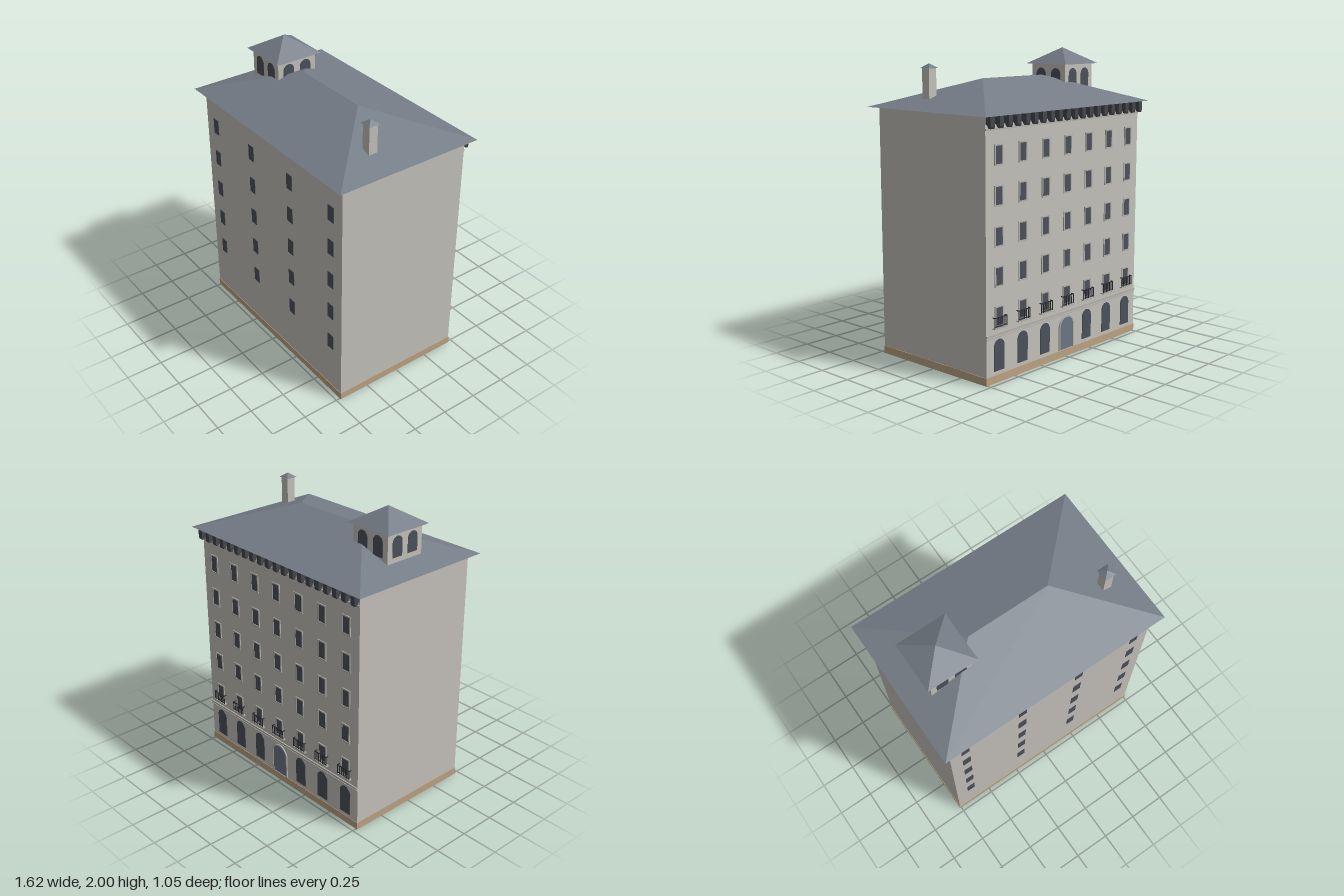
import * as THREE from 'three';

const mat = (name, color) => {
  const m = new THREE.MeshStandardMaterial({ color });
  m.name = name;
  return m;
};

// Hipped roof with its base at y = 0; ridge = 0 gives a pyramid
function hipGeometry(w, d, h, ridge = 0) {
  const a = [-w, 0, d], b = [w, 0, d], c = [w, 0, -d], e = [-w, 0, -d];
  const p = [-ridge, h, 0], q = [ridge, h, 0];
  const tris = [a, b, q, b, c, q, c, e, p, e, a, p, a, e, c, a, c, b];
  if (ridge > 0) tris.push(a, q, p, c, p, q);
  const g = new THREE.BufferGeometry();
  g.setAttribute('position', new THREE.Float32BufferAttribute(tris.flat(), 3));
  g.computeVertexNormals();
  return g;
}

// Round-headed outline standing on y = 0
function archPath(w, h, Type = THREE.Shape) {
  const r = w / 2, s = new Type();
  s.moveTo(-r, 0);
  s.lineTo(r, 0);
  s.lineTo(r, h - r);
  s.absarc(0, h - r, r, 0, Math.PI, false);
  s.lineTo(-r, 0);
  return s;
}

const extrude = (shape, depth) =>
  new THREE.ExtrudeGeometry(shape, { depth, bevelEnabled: false, curveSegments: 10 });

export function createModel() {
  const model = new THREE.Group();
  model.name = 'building';
  const wall = mat('stone wall', 0xc4c1bb);
  const trim = mat('stone trim', 0xb4b1ab);
  const slate = mat('roof slate', 0x757d87);
  const glass = mat('window glass', 0x4b515b);
  const doorPaint = mat('door paint', 0x6b7784);
  const iron = mat('dark iron', 0x2a2c30);
  const timber = mat('bracket timber', 0x44474c);
  const sand = mat('plinth sandstone', 0xbca382);

  const add = (parent, name, geo, material, x = 0, y = 0, z = 0) => {
    const m = new THREE.Mesh(geo, material);
    m.name = name;
    m.position.set(x, y, z);
    parent.add(m);
    return m;
  };
  const box = (parent, name, w, h, d, material, x, y, z) =>
    add(parent, name, new THREE.BoxGeometry(w, h, d), material, x, y, z);
  const group = (parent, name) => {
    const g = new THREE.Group();
    g.name = name;
    parent.add(g);
    return g;
  };

  // Main body
  box(model, 'plinth', 1.52, 0.05, 0.942, sand, 0, 0.025, 0);
  box(model, 'walls', 1.514, 1.59, 0.936, wall, 0, 0.845, 0);
  add(model, 'mainRoof', hipGeometry(0.81, 0.523, 0.18, 0.29), slate, 0, 1.64, 0);

  const rows = [0.42, 0.667, 0.913, 1.16, 1.405];

  // Plain front with four columns of windows
  const front = group(model, 'frontWindows');
  for (const x of [-0.645, -0.215, 0.215, 0.645])
    for (const y of rows) box(front, 'frontWindow', 0.058, 0.11, 0.005, glass, x, y, 0.4685);

  // Street side, built facing +z and turned to the back
  const street = group(model, 'streetFacade');
  street.rotation.y = Math.PI;
  const Z = 0.468;

  const frameShape = new THREE.Shape();
  const fw = 0.038, fh = 0.064;
  frameShape.moveTo(-fw, -fh).lineTo(fw, -fh).lineTo(fw, fh).lineTo(-fw, fh).closePath();
  const opening = new THREE.Path();
  opening.moveTo(-0.029, -0.055).lineTo(-0.029, 0.055).lineTo(0.029, 0.055).lineTo(0.029, -0.055).closePath();
  frameShape.holes.push(opening);
  const frameGeo = extrude(frameShape, 0.006);

  const surround = archPath(0.15, 0.225);
  surround.holes.push(archPath(0.13, 0.215, THREE.Path));
  const surroundGeo = extrude(surround, 0.008);
  const archGeo = extrude(archPath(0.092, 0.2), 0.004);
  const doorGeo = extrude(archPath(0.13, 0.215), 0.004);

  for (let i = -3; i <= 3; i++) {
    const x = i * 0.215;
    for (const y of rows) {
      box(street, 'window', 0.058, 0.11, 0.005, glass, x, y, Z);
      add(street, 'windowFrame', frameGeo, trim, x, y, Z);
    }
    // Balcony with an iron railing
    const balcony = group(street, 'balcony');
    balcony.position.set(x, 0.35, Z);
    box(balcony, 'balconySlab', 0.115, 0.008, 0.022, trim, 0, 0, 0.011);
    box(balcony, 'handrail', 0.11, 0.006, 0.004, iron, 0, 0.067, 0.018);
    box(balcony, 'bottomRail', 0.11, 0.004, 0.004, iron, 0, 0.012, 0.018);
    for (let k = -3; k <= 3; k++)
      box(balcony, 'baluster', 0.005, 0.066, 0.004, iron, k * 0.0175, 0.035, 0.018);
    for (const s of [-1, 1]) box(balcony, 'sideRail', 0.004, 0.006, 0.018, iron, s * 0.053, 0.067, 0.009);
    // Ground floor arches, with the door in the middle
    if (i === 0) {
      add(street, 'door', doorGeo, doorPaint, x, 0.055, Z);
      add(street, 'doorSurround', surroundGeo, trim, x, 0.055, Z);
    } else {
      add(street, 'archedWindow', archGeo, glass, x, 0.075, Z);
    }
  }

  // Mouldings and eaves brackets
  box(street, 'stringCourse', 1.514, 0.014, 0.01, trim, 0, 0.307, Z + 0.003);
  box(street, 'lowerMoulding', 1.514, 0.006, 0.006, trim, 0, 0.29, Z + 0.002);
  box(street, 'friezeMoulding', 1.514, 0.012, 0.008, trim, 0, 1.56, Z + 0.003);
  const profile = new THREE.Shape();
  profile.moveTo(0, 1.64).lineTo(0, 1.59).lineTo(0.012, 1.585).lineTo(0.02, 1.57)
    .lineTo(0.034, 1.566).lineTo(0.04, 1.58).lineTo(0.04, 1.64).closePath();
  const bracketGeo = extrude(profile, 0.036);
  bracketGeo.translate(0, 0, -0.018);
  bracketGeo.rotateY(-Math.PI / 2);
  for (let i = 0; i < 20; i++)
    add(street, 'eavesBracket', bracketGeo, timber, -0.735 + (i * 1.47) / 19, 0, Z);

  // Belvedere with two arches on every side
  const tower = group(model, 'belvedere');
  tower.position.set(-0.507, 0, 0);
  box(tower, 'belvedereWalls', 0.292, 0.24, 0.292, wall, 0, 1.77, 0);
  add(tower, 'belvedereRoof', hipGeometry(0.175, 0.175, 0.11), slate, 0, 1.89, 0);
  const towerArch = extrude(archPath(0.082, 0.135), 0.004);
  for (let s = 0; s < 4; s++) {
    const side = group(tower, 'belvedereSide');
    side.rotation.y = (s * Math.PI) / 2;
    for (const x of [-0.065, 0.065]) add(side, 'belvedereArch', towerArch, glass, x, 1.728, 0.1445);
  }

  // Chimney
  const chimney = group(model, 'chimney');
  chimney.position.set(0.609, 0, 0.157);
  box(chimney, 'chimneyStack', 0.062, 0.23, 0.062, wall, 0, 1.775, 0);
  add(chimney, 'chimneyCap', hipGeometry(0.042, 0.042, 0.03), slate, 0, 1.89, 0);

  return model;
}
